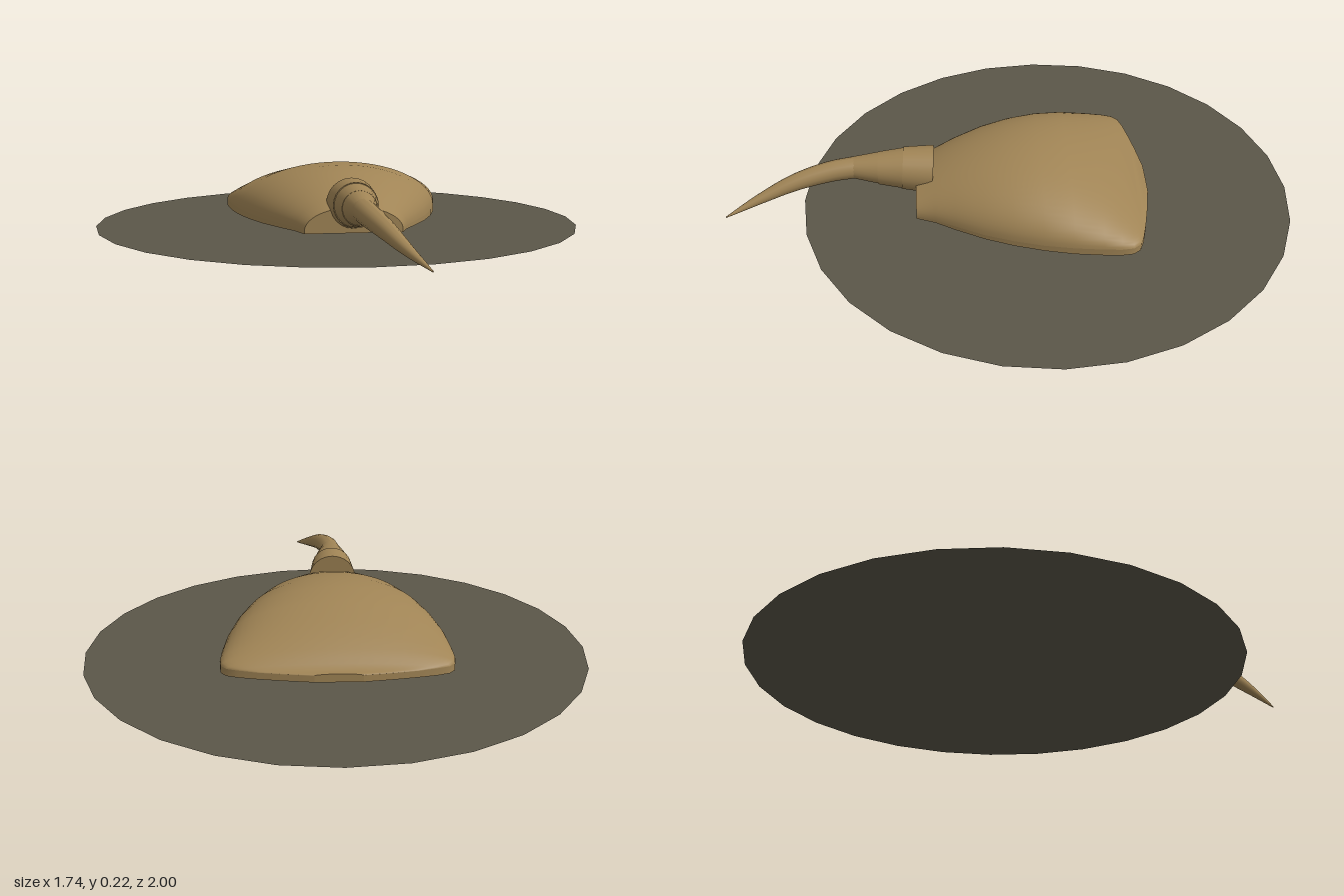
import * as THREE from 'three';

const shellMat = new THREE.MeshStandardMaterial({ color: 0xa08455, side: THREE.DoubleSide });
shellMat.name = 'tan shell';
const groundMat = new THREE.MeshStandardMaterial({ color: 0x5b5749, side: THREE.DoubleSide });
groundMat.name = 'dark olive base';

// Smooth skin through a list of equal-length open or closed rows of points
function loft(rows) {
  const n = rows[0].length;
  const index = [];
  for (let i = 0; i < rows.length - 1; i++) {
    for (let j = 0; j < n - 1; j++) {
      const a = i * n + j, b = a + 1, c = a + n, d = c + 1;
      index.push(a, c, b, b, c, d);
    }
  }
  const g = new THREE.BufferGeometry();
  g.setAttribute('position', new THREE.Float32BufferAttribute(rows.flat(2), 3));
  g.setIndex(index);
  g.computeVertexNormals();
  return g;
}

function add(group, name, geometry, material) {
  const mesh = new THREE.Mesh(geometry, material);
  mesh.name = name;
  group.add(mesh);
  return mesh;
}

// Domed body, swept from the narrow front to the broad back
function makeBody() {
  const group = new THREE.Group();
  group.name = 'body';
  const base = 0.035;
  // z, half width, crown height, rim height
  const stations = [
    [0.335, 0.165, 0.122, 0.045], [0.27, 0.19, 0.15, 0.047], [0.2, 0.232, 0.178, 0.05],
    [0.1, 0.285, 0.208, 0.052], [0, 0.325, 0.223, 0.055], [-0.1, 0.355, 0.224, 0.057],
    [-0.2, 0.376, 0.205, 0.06], [-0.3, 0.387, 0.168, 0.06], [-0.36, 0.39, 0.138, 0.06],
    [-0.4, 0.385, 0.114, 0.06], [-0.425, 0.365, 0.096, 0.06], [-0.44, 0.325, 0.08, 0.06],
    [-0.455, 0.26, 0.068, 0.058], [-0.47, 0.18, 0.065, 0.058], [-0.485, 0.08, 0.064, 0.058],
  ];
  const steps = 32;
  const arch = stations.map(([z, w, top, rim]) => {
    const row = [];
    for (let j = 0; j <= steps; j++) {
      const t = Math.PI * j / steps;
      row.push([w * Math.cos(t), rim + (top - rim) * Math.sin(t), z]);
    }
    return row;
  });
  add(group, 'shell', loft(arch.slice().reverse()), shellMat);

  // Upright rim along both sides and flat underside
  for (const side of [1, -1]) {
    const rows = stations.map(([z, w, , rim]) => [[side * w, base, z], [side * w, rim, z]]);
    add(group, side > 0 ? 'leftRim' : 'rightRim', loft(side > 0 ? rows.reverse() : rows), shellMat);
  }
  add(group, 'underside', loft(stations.map(([z, w]) => [[w, base, z], [-w, base, z]])), shellMat);

  // Flat end faces
  const ends = { frontFace: [arch[0], 1], backFace: [arch[arch.length - 1], -1] };
  for (const [name, [row, dir]] of Object.entries(ends)) {
    const floor = row.map(([x, , z]) => [x, base, z]);
    add(group, name, loft(dir > 0 ? [row, floor] : [floor, row]), shellMat);
  }
  return group;
}

// Tapered ring of the tail between two centres
function addSegment(group, from, to, r0, r1) {
  const a = new THREE.Vector3(...from), b = new THREE.Vector3(...to);
  const dir = b.clone().sub(a);
  const mesh = add(group, 'tailSegment', new THREE.CylinderGeometry(r1, r0, dir.length(), 24), shellMat);
  mesh.position.copy(a).add(b).multiplyScalar(0.5);
  mesh.quaternion.setFromUnitVectors(new THREE.Vector3(0, 1, 0), dir.normalize());
}

// Curved spike, a tube that narrows to its tip
function makeSpike() {
  const path = new THREE.CatmullRomCurve3([
    [0, 0.143, 0.55], [0.012, 0.135, 0.64], [0.04, 0.113, 0.76], [0.08, 0.076, 0.88], [0.13, 0.036, 1.0],
  ].map((p) => new THREE.Vector3(...p)));
  const along = 24, around = 16;
  const g = new THREE.TubeGeometry(path, along, 1, around);
  const pos = g.attributes.position, v = new THREE.Vector3();
  for (let i = 0; i <= along; i++) {
    const t = i / along;
    const c = path.getPointAt(t);
    const r = 0.037 * (1 - Math.pow(t, 1.8)) + 0.002;
    for (let j = 0; j <= around; j++) {
      const k = i * (around + 1) + j;
      v.fromBufferAttribute(pos, k).sub(c).multiplyScalar(r).add(c);
      pos.setXYZ(k, v.x, v.y, v.z);
    }
  }
  g.computeVertexNormals();
  return g;
}

export function createModel() {
  const model = new THREE.Group();
  model.name = 'model';

  // Flat round base
  const disc = add(model, 'baseDisc', new THREE.CircleGeometry(0.87, 28), groundMat);
  disc.rotation.x = -Math.PI / 2;
  disc.position.z = -0.13;

  model.add(makeBody());

  const tail = new THREE.Group();
  tail.name = 'tail';
  addSegment(tail, [0, 0.126, 0.277], [0, 0.135, 0.383], 0.086, 0.075);
  addSegment(tail, [0, 0.134, 0.378], [0, 0.137, 0.468], 0.073, 0.058);
  addSegment(tail, [0, 0.138, 0.46], [0, 0.143, 0.57], 0.058, 0.036);
  add(tail, 'tailSpike', makeSpike(), shellMat);
  model.add(tail);
  return model;
}
